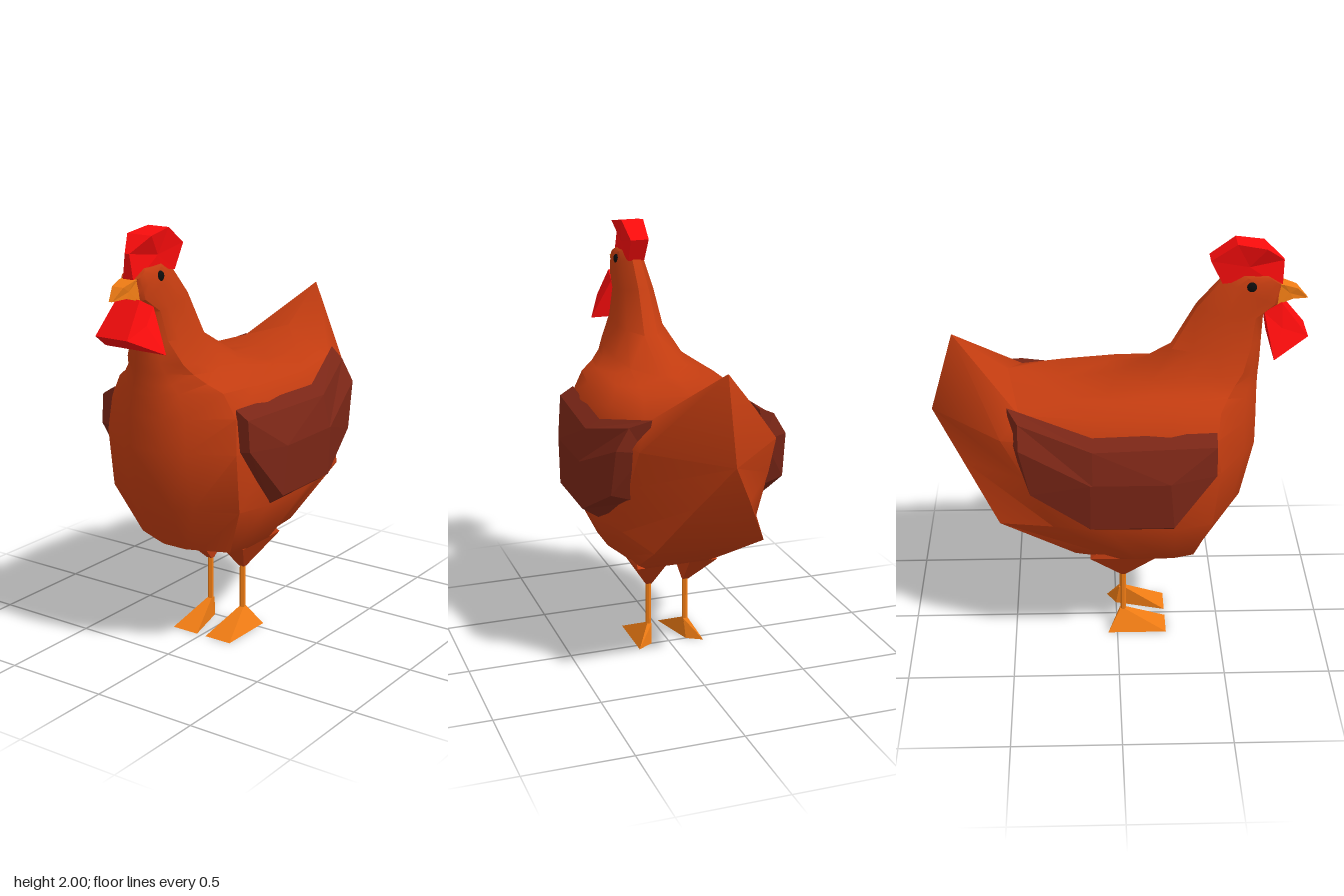
import * as THREE from 'three';
import { toCreasedNormals } from 'three/addons/utils/BufferGeometryUtils.js';

const mat = (color, flatShading = true) => {
  const m = new THREE.MeshStandardMaterial({ color });
  m.flatShading = flatShading;
  return m;
};

// Skin a list of equal-length closed loops ([x, y, z] points) and cap both ends; faces always point outwards.
// The diagonals of the first and second half of a loop mirror each other.
function loft(loops) {
  const n = loops[0].length, pos = loops.flat(2), index = [];
  loops.slice(1).forEach((_, r) => {
    for (let i = 0; i < n; i++) {
      const a = r * n + i, b = r * n + (i + 1) % n;
      index.push(...(i < n / 2 - 1 ? [a, b, a + n, b, b + n, a + n] : [a, b, b + n, a, b + n, a + n]));
    }
  });
  [0, loops.length - 1].forEach((r) => {
    const c = pos.length / 3;
    for (let k = 0; k < 3; k++) pos.push(loops[r].reduce((s, p) => s + p[k], 0) / n);
    for (let i = 0; i < n; i++) {
      const a = r * n + i, b = r * n + (i + 1) % n;
      index.push(...(r ? [a, b, c] : [b, a, c]));
    }
  });
  const at = (i) => new THREE.Vector3(pos[i * 3], pos[i * 3 + 1], pos[i * 3 + 2]);
  const mid = at(0);
  let volume = 0;
  for (let i = 0; i < index.length; i += 3) {
    const [a, b, c] = [0, 1, 2].map((k) => at(index[i + k]).sub(mid));
    volume += a.dot(b.cross(c));
  }
  if (volume < 0) index.reverse();
  const g = new THREE.BufferGeometry();
  g.setAttribute('position', new THREE.Float32BufferAttribute(pos, 3));
  g.setIndex(index);
  const flat = g.toNonIndexed();
  flat.computeVertexNormals();
  return flat;
}

// Symmetric solid from a side outline of [z, y, halfWidth] points
const slab = (outline) => loft([-1, 1].map((s) => outline.map(([z, y, w]) => [s * w, y, z])));

// Rings from belly to crown: back z, back y, front z, front y, half width, y at the flank, width of the back edge
const BODY = [
  [-0.13, 0.46, 0.18, 0.46, 0.2, 0.46, 0.8],
  [-0.2, 0.51, 0.44, 0.515, 0.28, 0.51, 0.78],
  [-0.55, 0.71, 0.58, 0.75, 0.395, 0.73, 0.66],
  [-0.72, 0.97, 0.64, 1.03, 0.4, 0.98, 0.3],
  [-0.86, 1.18, 0.64, 1.18, 0.385, 1.18, 0],
  [-0.75, 1.56, 0.64, 1.29, 0.32, 1.28, 0],
  [-0.5, 1.385, 0.642, 1.33, 0.25, 1.33, 0],
  [-0.25, 1.33, 0.645, 1.38, 0.2, 1.33, 0.1],
  [0, 1.35, 0.65, 1.43, 0.17, 1.365, 0.2],
  [0.25, 1.49, 0.655, 1.53, 0.112, 1.5, 0.3],
  [0.36, 1.69, 0.66, 1.65, 0.085, 1.68, 0.3],
  [0.47, 1.82, 0.74, 1.7, 0.07, 1.8, 0.3],
  [0.54, 1.86, 0.74, 1.75, 0.065, 1.84, 0.3],
  [0.66, 1.85, 0.74, 1.8, 0.05, 1.84, 0.3],
];
// Plan of a ring: fraction from back to front, fraction of half width
const REAR = 0.22;
const plan = (edge) => [[0, edge], [REAR, 0.83], [0.45, 1], [0.72, 1], [0.87, 0.9], [0.96, 0.44], [1, 0.22]];

function bodyRing([zb, yb, zf, yf, w, flank, edge]) {
  const half = plan(edge).map(([u, x]) => [
    x * w,
    u < REAR ? yb : THREE.MathUtils.lerp(flank, yf, (u - REAR) / (1 - REAR)),
    THREE.MathUtils.lerp(zb, zf, u),
  ]);
  return [...half, ...half.slice().reverse().map(([x, y, z]) => [-x, y, z])];
}

// Wing corners: inner z, y, x then outer z, y, x
const WING = [
  [0.44, 1.22, 0.34, 0.44, 1.18, 0.405], [-0.12, 1.22, 0.375, -0.12, 1.18, 0.44],
  [-0.5, 1.31, 0.25, -0.45, 1.27, 0.34], [-0.49, 1.16, 0.28, -0.45, 1.17, 0.4],
  [-0.41, 0.91, 0.28, -0.4, 0.95, 0.41], [-0.13, 0.75, 0.39, -0.13, 0.8, 0.465],
  [0.25, 0.75, 0.395, 0.25, 0.8, 0.465], [0.44, 1.03, 0.36, 0.44, 1.04, 0.415],
];

function wing(s) {
  const loop = (k) => WING.map((p) => [s * p[k + 2], p[k + 1], p[k]]);
  // the outer face rises gently to a straight ridge
  const ridge = WING.map((p) => [s * 0.475, 1.03, THREE.MathUtils.clamp(p[3], -0.13, 0.23)]);
  return loft([loop(0), loop(3), ridge]);
}

// Horizontal rectangle, used for the legs
const quad = (x, y, zFront, zBack, w) => [
  [x - w, y, zFront], [x + w, y, zFront], [x + w, y, zBack], [x - w, y, zBack],
];

export function createModel() {
  const group = new THREE.Group();
  const feather = mat(0xc23c10), smoothFeather = mat(0xc23c10, false);
  const dark = mat(0x7a2616), red = mat(0xf80c0c), orange = mat(0xf07c14), black = mat(0x0c0c0c, false);
  const add = (name, geometry, material, parent = group) => {
    const mesh = new THREE.Mesh(geometry, material);
    mesh.name = name;
    parent.add(mesh);
    return mesh;
  };

  add('body', toCreasedNormals(loft(BODY.map(bodyRing)), 0.8), smoothFeather);

  // Head details
  add('comb', slab([
    [0.74, 1.78, 0.03], [0.745, 1.91, 0.012], [0.66, 1.98, 0.065], [0.53, 2, 0.055],
    [0.415, 1.92, 0.045], [0.47, 1.81, 0.04], [0.56, 1.82, 0.04],
  ]), red);
  add('wattle', slab([[0.74, 1.72, 0.06], [0.86, 1.57, 0.085], [0.7, 1.49, 0.165], [0.66, 1.68, 0.07]]), red);
  add('beak', slab([
    [0.72, 1.805, 0.04], [0.75, 1.8, 0.04], [0.81, 1.78, 0.03], [0.86, 1.725, 0.008], [0.79, 1.73, 0.03], [0.72, 1.71, 0.045],
  ]), orange);

  for (const [s, side] of [[1, 'left'], [-1, 'right']]) {
    add(side + 'Wing', wing(s), dark);
    const eye = add(side + 'Eye', new THREE.SphereGeometry(0.024, 12, 8), black);
    eye.position.set(s * 0.06, 1.8, 0.6);
    eye.scale.x = 0.6;

    // Leg: thigh, shank and wedge foot with its heel on the outer side
    const leg = new THREE.Group();
    leg.name = side + 'Leg';
    group.add(leg);
    add('thigh', loft([
      quad(s * 0.095, 0.31, 0.04, 0.02, 0.014),
      quad(s * 0.13, 0.46, 0.18, -0.13, 0.07),
      quad(s * 0.13, 0.54, 0.16, -0.04, 0.06),
    ]), feather, leg);
    add('shank', new THREE.CylinderGeometry(0.014, 0.014, 0.28, 6), orange, leg).position.set(s * 0.095, 0.21, 0.03);
    add('foot', loft([
      [[s * 0.025, 0, 0.24], [s * 0.165, 0, 0.24], [s * 0.165, 0, -0.045], [s * 0.09, 0, 0.0]],
      [[s * 0.083, 0.1, 0.04], [s * 0.107, 0.1, 0.04], [s * 0.107, 0.1, 0.015], [s * 0.083, 0.1, 0.015]],
    ]), orange, leg);
  }
  return group;
}
